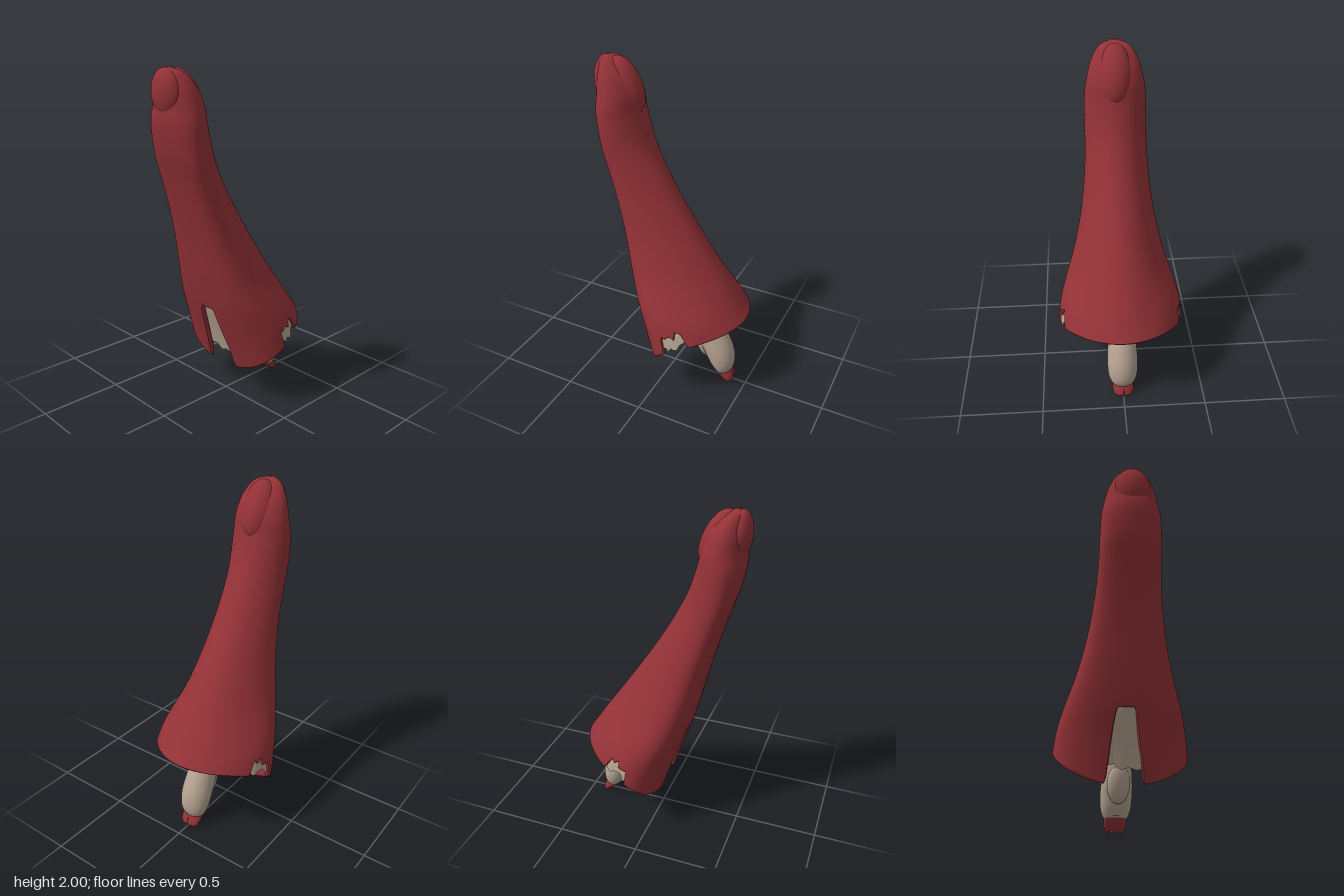
import * as THREE from 'three';
import { ParametricGeometry } from 'three/addons/geometries/ParametricGeometry.js';

const red = new THREE.MeshStandardMaterial({ color: 0x943237, roughness: 0.8, side: THREE.DoubleSide });
const tan = new THREE.MeshStandardMaterial({ color: 0xb5a391, roughness: 0.8, side: THREE.DoubleSide });

const { smoothstep, lerp, clamp } = THREE.MathUtils;
const hash = n => { const s = Math.sin(n * 127.1 + 3.7) * 43758.5453; return s - Math.floor(s); };
// Uneven saw-tooth between 0 and 1 for torn edges
const jag = x => {
  const i = Math.floor(x);
  return lerp(hash(i), hash(i + 1), x - i);
};

// Rows are [leftX, leftY, rightX, rightY, halfDepth]; returns a point on the
// lofted skin at (t, angle), moved inward by `inset`. `bow` arches the lower
// rim and `skew` moves the widest point towards the left of the row.
function skin(rows, bow = 0, skew = 0) {
  const left = new THREE.CatmullRomCurve3(rows.map(r => new THREE.Vector3(r[0], r[1], r[4])));
  const right = new THREE.CatmullRomCurve3(rows.map(r => new THREE.Vector3(r[2], r[3], r[4])));
  const l = new THREE.Vector3(), r = new THREE.Vector3();
  return (t, a, inset, target) => {
    t = clamp(t, 0, 1);
    left.getPoint(t, l);
    right.getPoint(t, r);
    const hx = (r.x - l.x) / 2, hy = (r.y - l.y) / 2, side = Math.sin(a) ** 2;
    const k = Math.max(0.02, 1 - inset / Math.hypot(hx, hy)) * Math.cos(a)
      - skew * smoothstep(t, 0.25, 0.5) * side;
    target.set((l.x + r.x) / 2 + hx * k,
      (l.y + r.y) / 2 + hy * k + bow * smoothstep(t, 0.72, 1) * side,
      Math.max(0.002, l.z - inset) * Math.sin(a));
  };
}

function add(group, name, geometry, material) {
  const mesh = new THREE.Mesh(geometry, material);
  mesh.name = name;
  group.add(mesh);
  return mesh;
}

function ellipsoid(group, name, material, pos, radii, tilt) {
  const mesh = add(group, name, new THREE.SphereGeometry(1, 40, 28), material);
  mesh.position.set(...pos);
  mesh.scale.set(...radii);
  mesh.rotation.z = tilt;
}

// Whole loft with an optional ragged lower edge
function loft(group, name, material, rows, ragged = 0) {
  const s = skin(rows);
  add(group, name, new ParametricGeometry((u, v, p) =>
    s(v * (1 - ragged * jag((u % 1) * 22)), u * Math.PI * 2, 0, p), 66, 30), material);
}

export function createModel() {
  const model = new THREE.Group();
  model.name = 'tornHorn';

  const sleeve = skin([
    [-0.415, 2.0, -0.405, 2.0, 0.01],
    [-0.44, 1.975, -0.345, 1.975, 0.085],
    [-0.455, 1.9, -0.27, 1.9, 0.135],
    [-0.462, 1.8, -0.225, 1.8, 0.163],
    [-0.465, 1.72, -0.203, 1.7, 0.177],
    [-0.43, 1.55, -0.15, 1.53, 0.183],
    [-0.38, 1.4, -0.09, 1.4, 0.184],
    [-0.325, 1.22, 0.01, 1.22, 0.196],
    [-0.265, 1.0, 0.15, 1.0, 0.228],
    [-0.215, 0.8, 0.285, 0.8, 0.276],
    [-0.16, 0.6, 0.385, 0.655, 0.328],
    [-0.09, 0.39, 0.44, 0.57, 0.368],
    [-0.025, 0.17, 0.485, 0.505, 0.39],
  ], 0.105, 0.4);

  // Lower edge: a long cleft on the narrow side, a torn notch on either flank
  const flankAngle = 1.36;
  const edge = angle => {
    const a = Math.atan2(Math.sin(angle), Math.cos(angle));
    const back = Math.PI - Math.abs(a), flank = Math.abs(Math.abs(a) - flankAngle);
    const tear = jag(a * 16);
    const cleft = 0.16 * (1 - smoothstep(back, 0.15, 0.28 + 0.07 * tear));
    const notch = (0.035 + 0.03 * tear) * (1 - smoothstep(flank, 0.18, 0.25));
    return 0.99 - Math.max(cleft, notch);
  };

  // Sleeve: outer skin, rounded lip, then the inner skin back up
  const wall = 0.028;
  add(model, 'sleeve', new ParametricGeometry((u, v, p) => {
    const a = u * Math.PI * 2, end = edge(a);
    if (v < 0.6) sleeve(end * v / 0.6, a, 0, p);
    else if (v < 0.66) {
      const k = (v - 0.6) / 0.06;
      sleeve(end + 0.008 * Math.sin(k * Math.PI), a, wall * (1 - Math.cos(k * Math.PI)) / 2, p);
    } else sleeve(lerp(end, 0.35, (v - 0.66) / 0.34), a, wall, p);
  }, 216, 100), red);

  // Two swollen pads at the tip
  ellipsoid(model, 'outerTipPad', red, [-0.3, 1.835, 0], [0.082, 0.172, 0.095], 0.42);
  ellipsoid(model, 'innerTipPad', red, [-0.42, 1.865, 0], [0.064, 0.133, 0.105], 0.05);

  // Patches following the sleeve wall: teeth tear the lower edge, fray the sides
  const patch = (name, material, mid, half, t0, t1, inset, teeth, fray) =>
    add(model, name, new ParametricGeometry((u, v, p) => {
      const a = mid + (u * 2 - 1) * half * (1 - fray * jag(v * 9 + 2 * Math.round(u)));
      const tear = jag(u * 9 + mid);
      sleeve(lerp(t0, t1 - teeth * tear, v), a, inset + teeth * 0.2 * tear, p);
    }, 54, 27), material);

  patch('cleftLining', tan, Math.PI, 0.62, 0.80, 0.97, 0.034, 0.02, 0.2);
  for (const side of [1, -1]) {
    patch('flankLining', tan, side * flankAngle, 0.27, 0.88, 0.995, 0.012, 0.025, 0);
    patch('flankTatter', red, side * flankAngle, 0.25, 0.89, 0.95, 0.006, 0.03, 0);
    patch('cleftTatter', red, side * 2.56, 0.13, 0.86, 0.985, 0.042, 0.02, 0.75);
  }

  // Hanging clapper with its side lobe
  loft(model, 'clapper', tan, [
    [0.15, 0.5, 0.25, 0.52, 0.06],
    [0.14, 0.4, 0.30, 0.43, 0.072],
    [0.17, 0.29, 0.365, 0.32, 0.088],
    [0.225, 0.19, 0.408, 0.21, 0.094],
    [0.265, 0.12, 0.414, 0.12, 0.086],
    [0.305, 0.07, 0.395, 0.07, 0.062],
    [0.35, 0.05, 0.365, 0.05, 0.008],
  ]);
  ellipsoid(model, 'clapperLobe', tan, [0.205, 0.245, 0], [0.038, 0.112, 0.066], 0.3);

  // Torn red scraps at the clapper's root and end
  loft(model, 'rootScrap', red, [
    [0.13, 0.55, 0.27, 0.57, 0.066],
    [0.13, 0.49, 0.285, 0.51, 0.075],
    [0.128, 0.42, 0.305, 0.445, 0.08],
  ], 0.7);
  loft(model, 'endScrap', red, [
    [0.29, 0.085, 0.40, 0.075, 0.066],
    [0.325, 0.05, 0.415, 0.045, 0.066],
    [0.37, 0.012, 0.42, 0.018, 0.056],
    [0.395, 0.002, 0.41, 0.004, 0.04],
  ], 0.35);

  return model;
}
